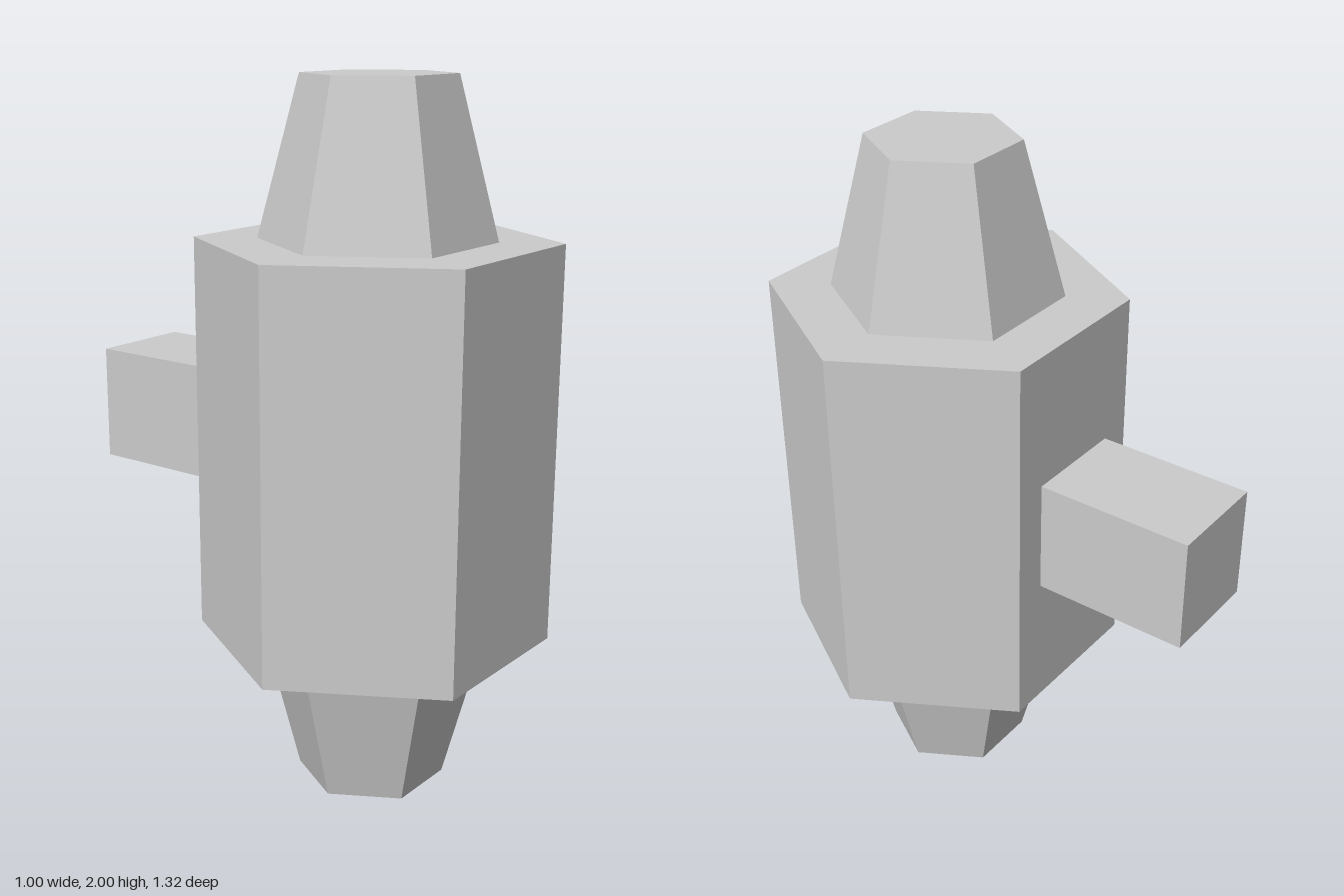
import * as THREE from 'three';

const AXIS_Z = 0.227;
const BODY_BOTTOM = 0.437, BODY_TOP = 1.563;

export function createModel() {
  const group = new THREE.Group();
  const material = new THREE.MeshStandardMaterial({ color: 0xcccccc, flatShading: true });

  const add = (name, geometry, y, z) => {
    const mesh = new THREE.Mesh(geometry, material);
    mesh.name = name;
    mesh.position.set(0, y, z);
    group.add(mesh);
  };

  // Six-sided prism or taper with corners on the x axis and flats facing front and back
  const addHex = (name, topRadius, bottomRadius, y0, y1) =>
    add(name, new THREE.CylinderGeometry(topRadius, bottomRadius, y1 - y0, 6, 1, false, Math.PI / 6),
      (y0 + y1) / 2, AXIS_Z);

  // Main body with a tapered end above and below
  addHex('body', 0.5, 0.5, BODY_BOTTOM, BODY_TOP);
  addHex('topTaper', 0.21, 0.325, BODY_TOP, 2);
  addHex('bottomTaper', 0.325, 0.21, 0, BODY_BOTTOM);

  // Square peg at the back, running from the rear flat of the body
  const pegFront = AXIS_Z - 0.5 * Math.cos(Math.PI / 6), pegBack = -0.66;
  add('backPeg', new THREE.BoxGeometry(0.305, 0.333, pegFront - pegBack), 1.003, (pegFront + pegBack) / 2);

  return group;
}
